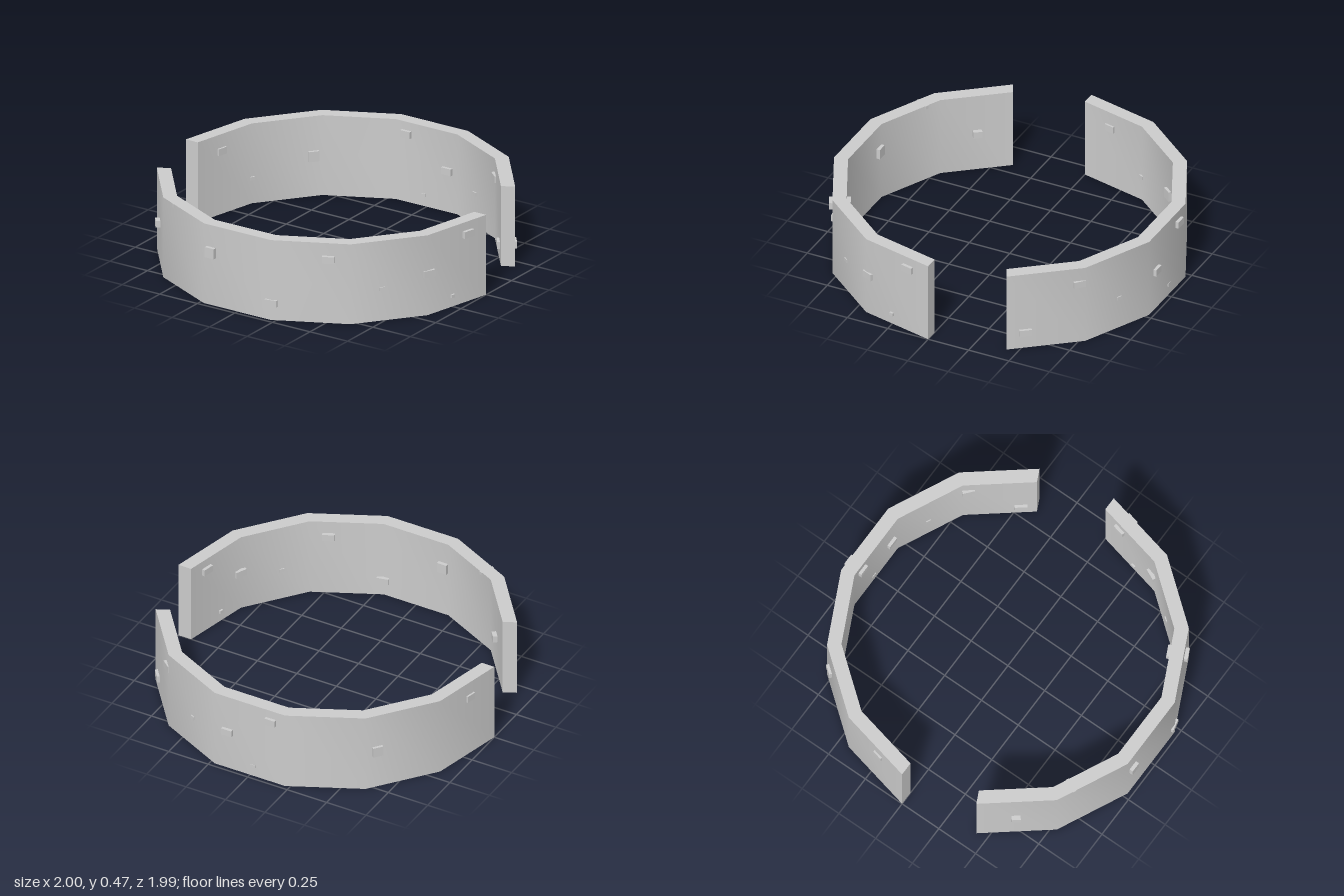
import * as THREE from 'three';
import { toCreasedNormals } from 'three/addons/utils/BufferGeometryUtils.js';

const STEP = Math.PI / 7; // the ring is a 14-sided polygon
const OUTER = 1, INNER = 0.92, HEIGHT = 0.475;
const material = new THREE.MeshStandardMaterial({ color: 0xcccccc });

// Angles run from +x towards +z
const point = (r, a) => new THREE.Vector2(r * Math.cos(a), -r * Math.sin(a));

// Curved wall of six straight segments, smooth along its faces
function makeWall(name, start) {
  const pts = [];
  for (let i = 0; i <= 6; i++) pts.push(point(OUTER, start + i * STEP));
  for (let i = 6; i >= 0; i--) pts.push(point(INNER, start + i * STEP));
  const geo = new THREE.ExtrudeGeometry(new THREE.Shape(pts), { depth: HEIGHT, bevelEnabled: false });
  geo.rotateX(-Math.PI / 2);
  const mesh = new THREE.Mesh(toCreasedNormals(geo, 0.6), material);
  mesh.name = name;
  return mesh;
}

// Brick pushed through the wall, square to its segment (or radial at a corner)
function makeBrick(degrees, y, width, height, depth) {
  const a = THREE.MathUtils.degToRad(degrees);
  const atCorner = Math.abs(a / STEP - Math.round(a / STEP)) < 0.08;
  const normal = atCorner ? a : (Math.floor(a / STEP) + 0.5) * STEP;
  const mid = (OUTER + INNER) / 2;
  const r = atCorner ? mid - 0.008 : mid * Math.cos(STEP / 2) / Math.cos(a - normal);
  const mesh = new THREE.Mesh(new THREE.BoxGeometry(width, height, depth), material);
  mesh.position.set(r * Math.cos(a), y, r * Math.sin(a));
  mesh.rotation.y = Math.PI / 2 - normal;
  mesh.name = 'brick';
  return mesh;
}

// angle, height of centre, width, height, depth
const frontBricks = [
  [141.6, 0.235, 0.05, 0.04, 0.13],
  [100.5, 0.315, 0.06, 0.06, 0.12],
  [77.1, 0.10, 0.07, 0.04, 0.11],
  [58.2, 0.38, 0.07, 0.04, 0.12],
  [41, 0.19, 0.03, 0.02, 0.09],
  [25, 0.245, 0.07, 0.04, 0.11],
  [8, 0.405, 0.07, 0.04, 0.115],
  [15, 0.065, 0.025, 0.018, 0.1],
  [122.5, 0.465, 0.02, 0.02, 0.085],
];
const backBricks = [
  [191.4, 0.375, 0.06, 0.04, 0.1],
  [205.8, 0.15, 0.03, 0.02, 0.085],
  [227.8, 0.24, 0.06, 0.06, 0.11],
  [261.9, 0.405, 0.065, 0.04, 0.115],
  [268.8, 0.065, 0.03, 0.018, 0.085],
  [278.5, 0.245, 0.065, 0.04, 0.115],
  [294.9, 0.19, 0.03, 0.02, 0.09],
  [310.4, 0.375, 0.07, 0.04, 0.105],
  [328.5, 0.10, 0.07, 0.04, 0.11],
];

export function createModel() {
  const model = new THREE.Group();
  model.name = 'ruinedRingWall';
  for (const [side, start, bricks] of [['front', 0, frontBricks], ['back', Math.PI, backBricks]]) {
    const group = new THREE.Group();
    group.name = side + 'Half';
    group.add(makeWall(side + 'Wall', start));
    for (const b of bricks) group.add(makeBrick(...b));
    model.add(group);
  }
  return model;
}
